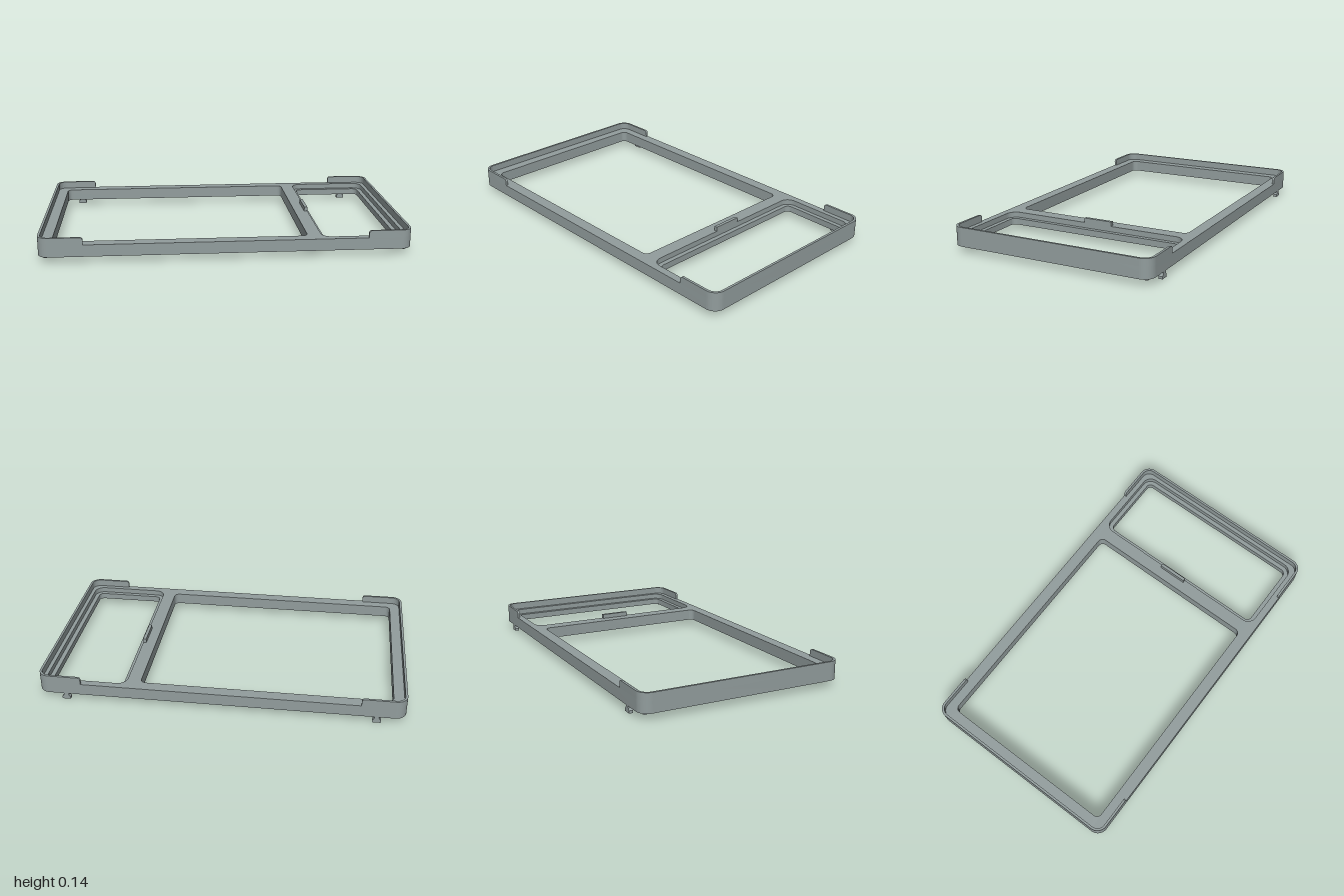
import * as THREE from 'three';
import { toCreasedNormals } from 'three/addons/utils/BufferGeometryUtils.js';

const HALF_X = 1, HALF_Z = 0.58, CORNER = 0.06;
const BOTTOM = 0.035, LEDGE = 0.07, DECK = 0.1, RIM_TOP = 0.14, RIM = 0.013;

// Traces a rounded rectangle on a Shape or Path
function roundRect(path, x0, x1, hz, r) {
  path.moveTo(x0 + r, -hz);
  path.lineTo(x1 - r, -hz);
  path.absarc(x1 - r, -hz + r, r, -Math.PI / 2, 0);
  path.lineTo(x1, hz - r);
  path.absarc(x1 - r, hz - r, r, 0, Math.PI / 2);
  path.lineTo(x0 + r, hz);
  path.absarc(x0 + r, hz - r, r, Math.PI / 2, Math.PI);
  path.lineTo(x0, -hz + r);
  path.absarc(x0 + r, -hz + r, r, Math.PI, Math.PI * 1.5);
  return path;
}

function extrude(shape, depth) {
  return new THREE.ExtrudeGeometry(shape, { depth, bevelEnabled: false, curveSegments: 10 });
}

// Extrudes a plan outline upwards between two heights
function slab(shape, y0, y1) {
  const geo = extrude(shape, y1 - y0).rotateX(-Math.PI / 2).translate(0, y0, 0);
  return toCreasedNormals(geo, 0.6);
}

export function createModel() {
  const model = new THREE.Group();
  model.name = 'bezelFrame';
  const grey = new THREE.MeshStandardMaterial({ color: 0x929d9d });
  grey.name = 'grey plastic';
  const add = (name, geo) => {
    const mesh = new THREE.Mesh(geo, grey);
    mesh.name = name;
    model.add(mesh);
    return mesh;
  };

  // Flat frame with the large window and the stepped small window
  const plan = roundRect(new THREE.Shape(), -HALF_X, HALF_X, HALF_Z, CORNER);
  plan.holes.push(
    roundRect(new THREE.Path(), -0.93, 0.44, 0.515, 0.03),
    roundRect(new THREE.Path(), 0.515, 0.965, 0.54, 0.055));
  add('frame', slab(plan, BOTTOM, DECK));

  // Sunken ledge around the small window
  const ledge = roundRect(new THREE.Shape(), 0.515, 0.965, 0.54, 0.055);
  ledge.holes.push(roundRect(new THREE.Path(), 0.54, 0.94, 0.515, 0.03));
  add('windowLedge', slab(ledge, BOTTOM, LEDGE));

  // Thin raised rim wrapping each end
  const tipX = 0.775, cx = HALF_X - CORNER, cz = HALF_Z - CORNER, ri = CORNER - RIM;
  const rim = new THREE.Shape();
  rim.moveTo(tipX, -HALF_Z);
  rim.lineTo(cx, -HALF_Z);
  rim.absarc(cx, -cz, CORNER, -Math.PI / 2, 0);
  rim.lineTo(HALF_X, cz);
  rim.absarc(cx, cz, CORNER, 0, Math.PI / 2);
  rim.lineTo(tipX, HALF_Z);
  rim.lineTo(tipX, HALF_Z - RIM);
  rim.lineTo(cx, HALF_Z - RIM);
  rim.absarc(cx, cz, ri, Math.PI / 2, 0, true);
  rim.lineTo(HALF_X - RIM, -cz);
  rim.absarc(cx, -cz, ri, 0, -Math.PI / 2, true);
  rim.lineTo(tipX, -HALF_Z + RIM);
  const rimGeo = slab(rim, DECK, RIM_TOP);
  add('leftRim', rimGeo);
  add('rightRim', rimGeo).rotation.y = Math.PI;

  // Rounded tips where the rims stop
  const tip = new THREE.Shape();
  tip.moveTo(0.76, DECK);
  tip.lineTo(tipX, DECK);
  tip.lineTo(tipX, RIM_TOP);
  tip.absarc(tipX, RIM_TOP - 0.015, 0.015, Math.PI / 2, Math.PI);
  const tipGeo = toCreasedNormals(extrude(tip, RIM).translate(0, 0, HALF_Z - RIM), 0.6);
  const tipBackGeo = tipGeo.clone().translate(0, 0, RIM - 2 * HALF_Z);
  for (const [side, turn] of [['left', 0], ['right', Math.PI]]) {
    add(side + 'RimTipA', tipGeo).rotation.y = turn;
    add(side + 'RimTipB', tipBackGeo).rotation.y = turn;
  }

  // Upright tab on the crossbar
  add('crossbarTab', new THREE.BoxGeometry(0.018, 0.025, 0.165).translate(0.506, DECK + 0.0125, -0.02));

  // Flared clips hanging from the back edge
  const clip = new THREE.Shape();
  clip.moveTo(-0.023, 0);
  clip.lineTo(0.023, 0);
  clip.lineTo(0.023, 0.014);
  clip.quadraticCurveTo(0.012, 0.022, 0.012, BOTTOM);
  clip.lineTo(-0.012, BOTTOM);
  clip.quadraticCurveTo(-0.012, 0.022, -0.023, 0.014);
  const clipGeo = toCreasedNormals(extrude(clip, 0.022).translate(0, 0, -HALF_Z), 0.6);
  const pegGeo = new THREE.CylinderGeometry(0.011, 0.011, 0.012, 16);
  for (const s of [-1, 1]) {
    add('backClip', clipGeo).position.x = s * 0.845;
    // Small locating pegs under the corners
    for (const t of [-1, 1]) add('cornerPeg', pegGeo).position.set(s * 0.96, BOTTOM - 0.006, t * 0.542);
  }
  return model;
}
